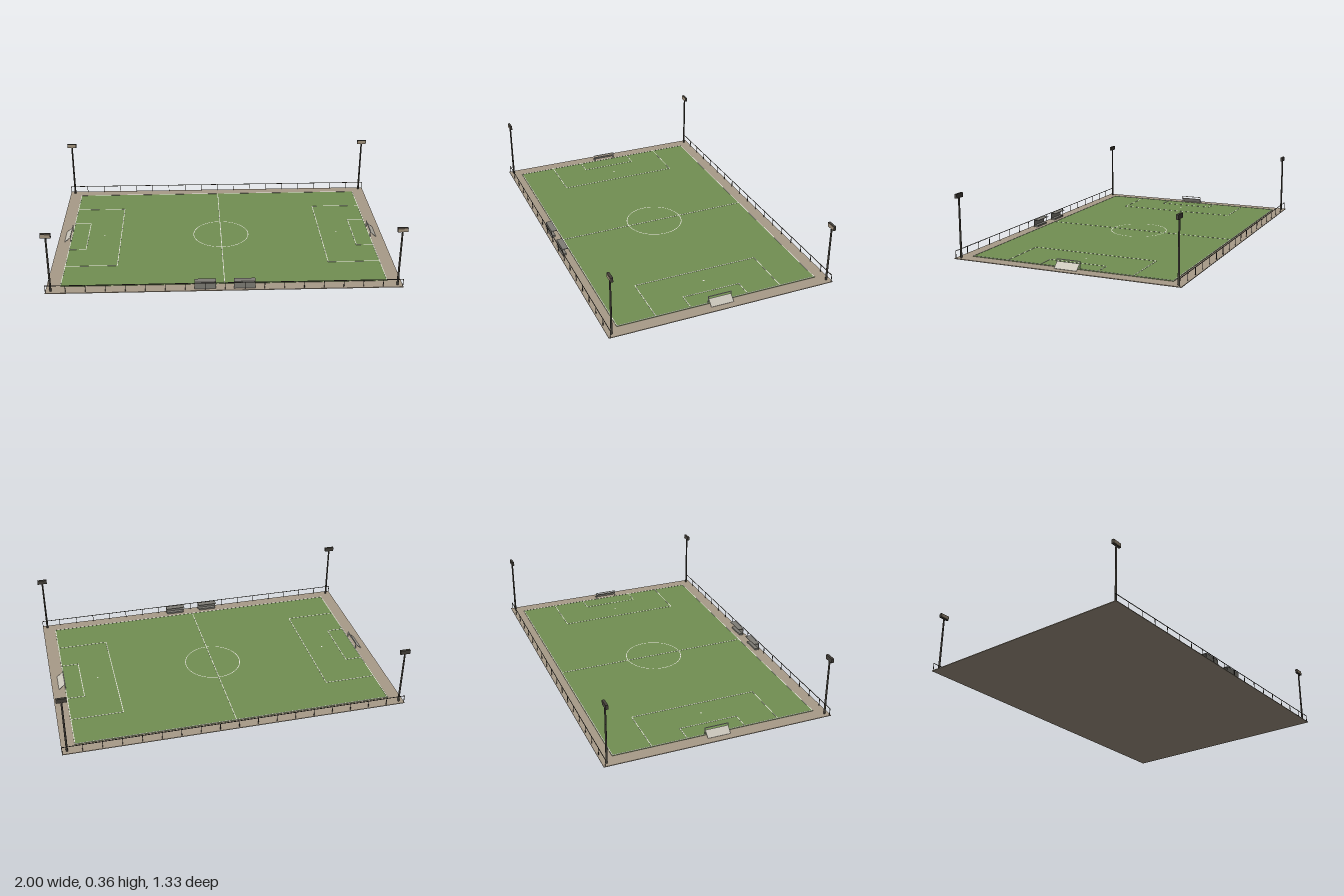
import * as THREE from 'three';

const mat = (name, color) => {
  const m = new THREE.MeshStandardMaterial({ color, side: THREE.DoubleSide });
  m.name = name;
  return m;
};

export function createModel() {
  const dirt = mat('dirt', 0xa89b89);
  const grass = mat('grass', 0x728f53);
  const white = mat('white paint', 0xe8e6de);
  const net = mat('net', 0xcac6bb);
  const metal = mat('dark metal', 0x45413a);
  const shelter = mat('shelter grey', 0x7f7d76);
  const lamp = mat('lamp glass', 0xa5957f);

  const model = new THREE.Group();
  model.name = 'sportsField';

  const group = (name, parent = model) => {
    const g = new THREE.Group();
    g.name = name;
    parent.add(g);
    return g;
  };
  const box = (parent, name, material, w, h, d, x, y, z) => {
    const m = new THREE.Mesh(new THREE.BoxGeometry(w, h, d), material);
    m.name = name;
    m.position.set(x, y, z);
    parent.add(m);
    return m;
  };

  // Ground slab and pitch
  box(model, 'ground', dirt, 2, 0.004, 1.33, 0, 0.002, 0);
  box(model, 'pitch', grass, 1.85, 0.003, 1.19, 0, 0.0055, 0);

  // Painted markings, thin plates on the grass
  const marks = group('markings');
  const W = 0.004;
  const Y = 0.0075;
  const line = (x0, z0, x1, z1) => box(marks, 'line', white,
    Math.abs(x1 - x0) + W, 0.001, Math.abs(z1 - z0) + W, (x0 + x1) / 2, Y, (z0 + z1) / 2);
  const flat = (name, geometry, x) => {
    const m = new THREE.Mesh(geometry, white);
    m.name = name;
    m.rotation.x = -Math.PI / 2;
    m.position.set(x, Y + 0.0005, 0);
    marks.add(m);
  };
  for (const s of [-1, 1]) {
    line(-0.922, s * 0.592, 0.922, s * 0.592);
    line(s * 0.922, -0.592, s * 0.922, 0.592);
    // penalty area and goal area
    for (const [x, z] of [[0.618, 0.373], [0.82, 0.17]]) {
      line(s * x, -z, s * x, z);
      for (const t of [-1, 1]) line(s * x, t * z, s * 0.922, t * z);
    }
    flat('penaltySpot', new THREE.CircleGeometry(0.005, 12), s * 0.72);
  }
  line(0, -0.592, 0, 0.592);
  flat('centreCircle', new THREE.RingGeometry(0.167, 0.171, 64), 0);
  flat('centreSpot', new THREE.CircleGeometry(0.005, 12), 0);

  // Goals with a net leaning away from the pitch
  for (const s of [-1, 1]) {
    const goal = group('goal');
    for (const t of [-1, 1]) {
      box(goal, 'goalPost', white, 0.004, 0.046, 0.004, s * 0.922, 0.027, t * 0.068);
    }
    box(goal, 'crossbar', white, 0.004, 0.004, 0.14, s * 0.922, 0.048, 0);
    const panel = box(goal, 'net', net, Math.hypot(0.037, 0.031), 0.002, 0.134, s * 0.942, 0.02, 0);
    panel.rotation.z = -s * Math.atan2(0.031, 0.037);
  }

  // Long side fences: posts and a top rail
  for (const s of [-1, 1]) {
    const fence = group('fence');
    const z = s * 0.656;
    for (let i = 0; i <= 18; i++) {
      box(fence, 'fencePost', metal, 0.003, 0.043, 0.003, -0.998 + i * 1.996 / 18, 0.0255, z);
    }
    box(fence, 'fenceRail', metal, 2, 0.003, 0.003, 0, 0.0465, z);
  }

  // Team shelters
  for (const s of [-1, 1]) {
    const dugout = group('dugout');
    const x = s * 0.11;
    box(dugout, 'shelterBack', shelter, 0.12, 0.044, 0.003, x, 0.026, 0.646);
    box(dugout, 'shelterRoof', shelter, 0.12, 0.003, 0.036, x, 0.0475, 0.63);
    box(dugout, 'bench', shelter, 0.11, 0.01, 0.022, x, 0.009, 0.634);
  }

  // Corner floodlights
  for (const sx of [-1, 1]) {
    for (const sz of [-1, 1]) {
      const light = group('floodlight');
      const x = sx * 0.971;
      const z = sz * 0.64;
      const pole = new THREE.Mesh(new THREE.CylinderGeometry(0.005, 0.006, 0.34, 8), metal);
      pole.name = 'pole';
      pole.position.set(x, 0.174, z);
      light.add(pole);
      box(light, 'lampHead', metal, 0.058, 0.025, 0.014, x, 0.352, z);
      box(light, 'lampFace', lamp, 0.052, 0.019, 0.002, x, 0.352, z + 0.0075);
    }
  }

  return model;
}
